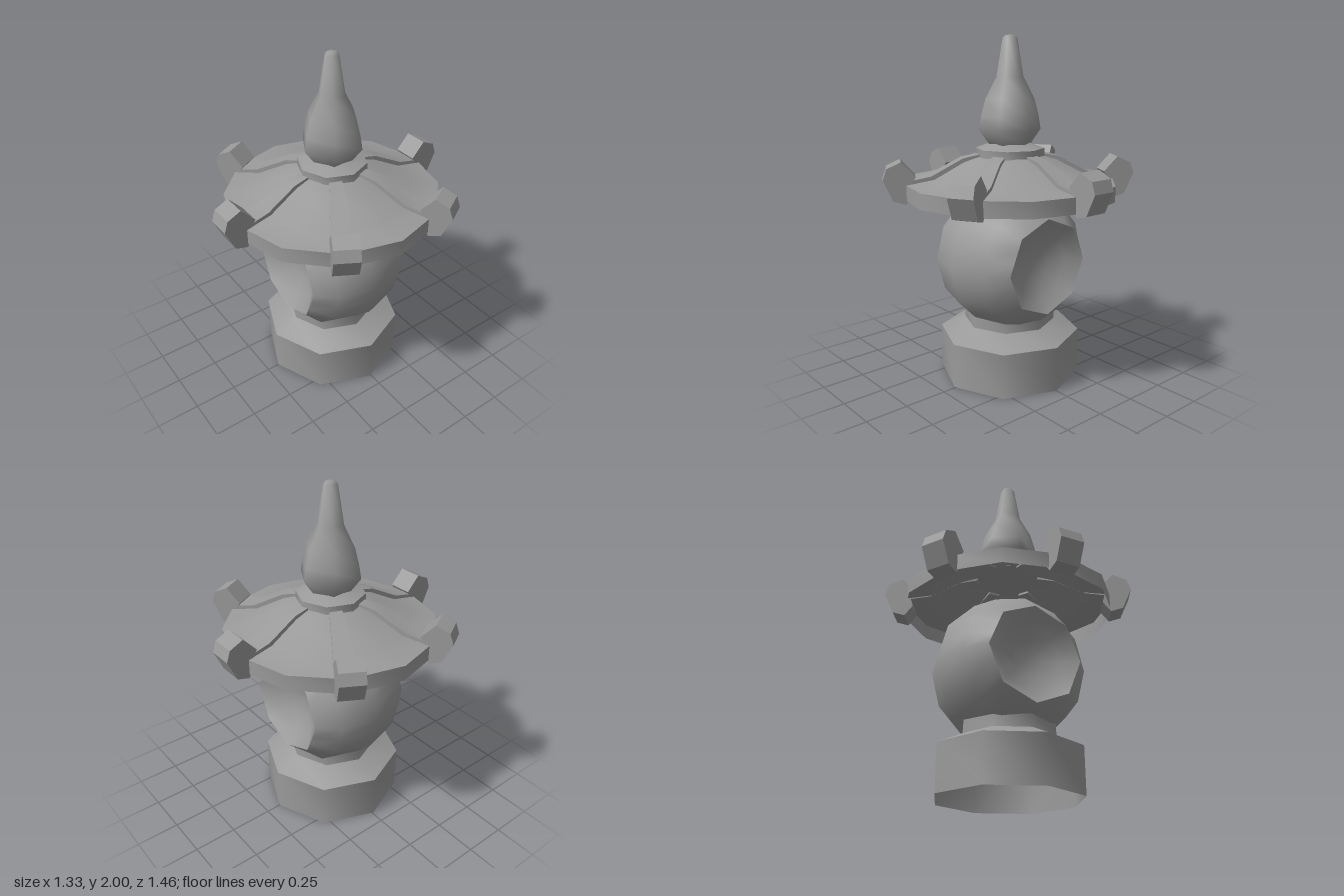
import * as THREE from 'three';
import { toCreasedNormals } from 'three/addons/utils/BufferGeometryUtils.js';

const material = new THREE.MeshStandardMaterial({ color: 0x9a9a9a, side: THREE.DoubleSide });

function addPart(parent, name, geometry, crease = 0.8) {
  const mesh = new THREE.Mesh(toCreasedNormals(geometry, crease), material);
  mesh.name = name;
  parent.add(mesh);
  return mesh;
}

const lathe = (points, sides) =>
  new THREE.LatheGeometry(points.map(([r, y]) => new THREE.Vector2(r, y)), sides);

// Globe turned about z: twelve-sided body that meets eight-sided openings front and back
function globeGeometry() {
  const geometry = lathe([[0.28, -0.33], [0.377, -0.2175], [0.435, 0],
    [0.377, 0.2175], [0.28, 0.33]], 24);
  const p = geometry.attributes.position;
  for (let i = 0; i < p.count; i++) {
    const x = p.getX(i), z = p.getZ(i);
    const step = (2 * Math.PI) / (Math.hypot(x, z) < 0.3 ? 8 : 12);
    const angle = Math.atan2(x, z);
    const offset = Math.abs(angle - Math.round(angle / step) * step);
    const k = Math.cos(step / 2) / Math.cos(step / 2 - offset);
    p.setX(i, x * k);
    p.setZ(i, z * k);
  }
  return geometry.rotateX(Math.PI / 2);
}

// Tapered roof rib following the roof slope, running out along +z
function ribGeometry() {
  const path = [[0.18, 1.34], [0.28, 1.32], [0.46, 1.225], [0.6, 1.2]];
  const geometry = new THREE.BoxGeometry(1, 1, 1, 1, 1, path.length - 1);
  const p = geometry.attributes.position;
  for (let i = 0; i < p.count; i++) {
    const [r, top] = path[Math.round((p.getZ(i) + 0.5) * (path.length - 1))];
    const halfWidth = 0.035 + (r - 0.18) * 0.083;
    p.setXYZ(i, Math.sign(p.getX(i)) * halfWidth, p.getY(i) > 0 ? top : top - 0.028, r);
  }
  return geometry;
}

// Upturned eave hook, drawn as a side profile (distance out, height)
function hookGeometry() {
  const profile = [[0.56, 1.13], [0.605, 1.07], [0.675, 1.09], [0.73, 1.21],
    [0.708, 1.275], [0.628, 1.312], [0.548, 1.225], [0.575, 1.185]];
  const shape = new THREE.Shape(profile.map(([r, y]) => new THREE.Vector2(r, y)));
  const geometry = new THREE.ExtrudeGeometry(shape, { depth: 0.14, bevelEnabled: false });
  return geometry.translate(0, 0, -0.07).rotateY(-Math.PI / 2);
}

export function createModel() {
  const model = new THREE.Group();
  model.name = 'stoneLantern';

  // Hollow base with sloped shoulder and short neck
  const base = addPart(model, 'base', lathe(
    [[0.418, 0], [0.418, 0.265], [0.27, 0.33], [0.27, 0.42]], 8));
  base.position.z = 0.008;

  // Globe with a sunken dish in front and back
  const globe = addPart(model, 'globe', globeGeometry());
  globe.position.y = 0.725;
  for (const side of [1, -1]) {
    const dish = addPart(globe, side > 0 ? 'frontDish' : 'backDish', lathe(
      [[0, 0.21], [0.1, 0.225], [0.2, 0.265], [0.28, 0.33]], 8));
    dish.rotation.x = (side * Math.PI) / 2;
  }

  // Open-bottomed roof shell
  addPart(model, 'roof', lathe(
    [[0.62, 1.09], [0.62, 1.18], [0.46, 1.205], [0.28, 1.3], [0.17, 1.332]], 12));

  // Six ribs, each ending in a hook
  for (let i = 0; i < 6; i++) {
    const arm = new THREE.Group();
    arm.name = 'roofArm' + (i + 1);
    arm.rotation.y = (i * Math.PI) / 3;
    addPart(arm, 'rib', ribGeometry(), 0.6);
    addPart(arm, 'hook', hookGeometry(), 0.4);
    model.add(arm);
  }

  // Collar, closed below, and finial
  addPart(model, 'collar', lathe([[0, 1.325], [0.2, 1.325], [0.2, 1.37], [0.11, 1.4]], 8));
  addPart(model, 'finial', lathe(
    [[0.12, 1.39], [0.18, 1.475], [0.168, 1.55], [0.142, 1.65], [0.078, 1.77],
      [0.042, 1.985], [0.025, 2], [0, 2]], 6), 2);

  return model;
}
